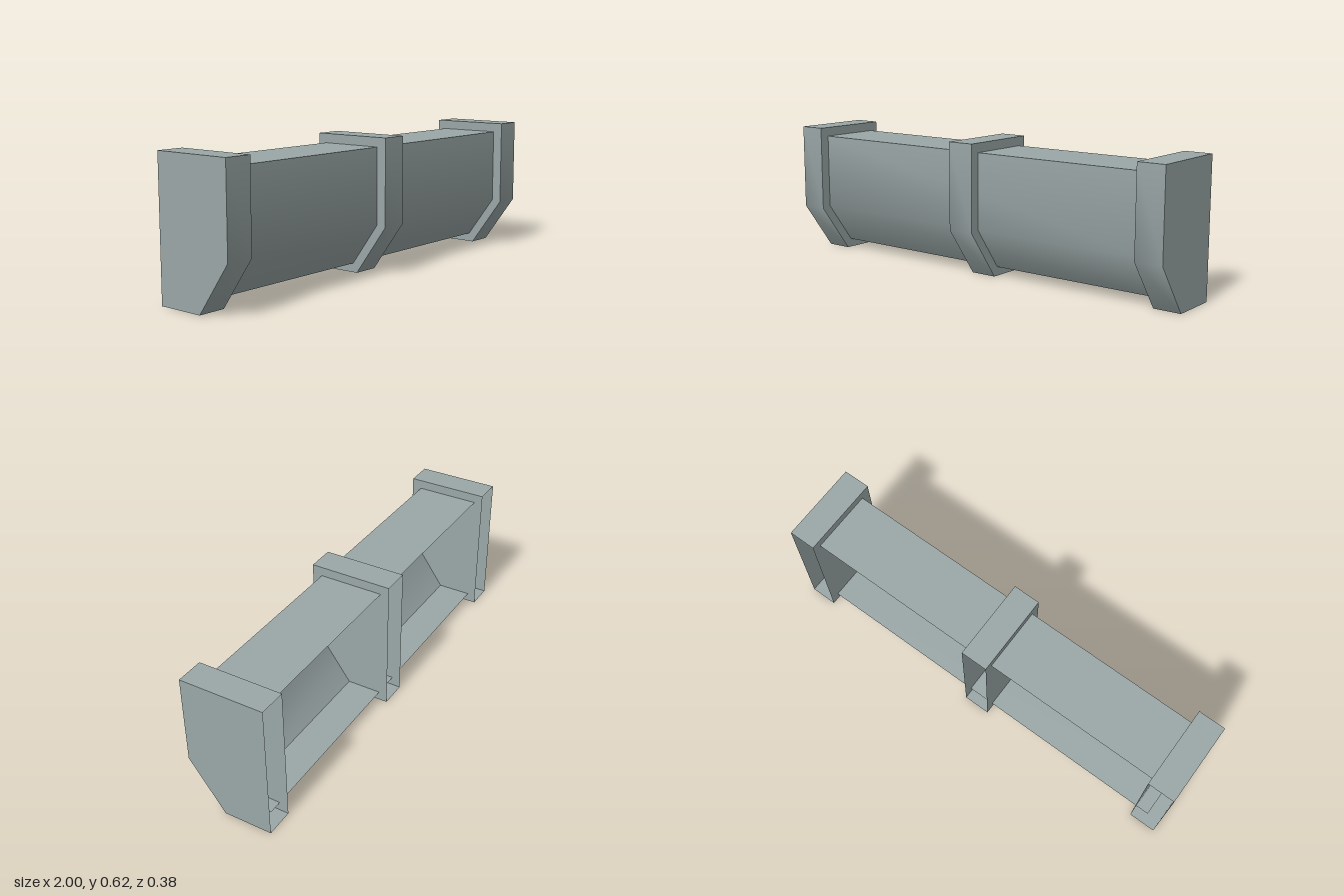
import * as THREE from 'three';
import { toCreasedNormals } from 'three/addons/utils/BufferGeometryUtils.js';

// Cross-sections as [z, y], running from the back of the top to the back of the bottom
const COLLAR = [[-0.189, 0.616], [0.189, 0.616], [0.189, 0.223], [0.029, 0], [-0.189, 0]];
const BODY = [[-0.15, 0.574], [0.144, 0.574], [0.144, 0.23], [0.008, 0.041], [-0.15, 0.041]];

// Sheet swept along x through an open profile; the shallow bend stays smooth
function sheet(profile, x0, x1) {
  const pos = [];
  for (let i = 0; i < profile.length - 1; i++) {
    const [za, ya] = profile[i];
    const [zb, yb] = profile[i + 1];
    const a = [x0, ya, za], b = [x0, yb, zb], c = [x1, yb, zb], d = [x1, ya, za];
    pos.push(...a, ...b, ...c, ...a, ...c, ...d);
  }
  const geo = new THREE.BufferGeometry();
  geo.setAttribute('position', new THREE.Float32BufferAttribute(pos, 3));
  return toCreasedNormals(geo, THREE.MathUtils.degToRad(45));
}

// Flat side wall facing +x (side 1) or -x (side -1)
function wall(profile, x, side) {
  const shape = new THREE.Shape(profile.map(([z, y]) => new THREE.Vector2(-side * z, y)));
  return new THREE.ShapeGeometry(shape).rotateY(side * Math.PI / 2).translate(x, 0, 0);
}

export function createModel() {
  const model = new THREE.Group();
  model.name = 'wallBox';
  const metal = new THREE.MeshStandardMaterial({ color: 0x9ba7a7, side: THREE.DoubleSide });
  metal.name = 'pale grey metal';

  const add = (parent, name, geo) => {
    const mesh = new THREE.Mesh(geo, metal);
    mesh.name = name;
    parent.add(mesh);
  };

  // Long trough, open at the back, ending inside the outer collars
  add(model, 'body', sheet(BODY, -0.9375, 0.9375));

  // Three hollow collars, open at the back
  const half = 0.0625;
  for (const [name, x] of [['rightCollar', -1 + half], ['middleCollar', 0], ['leftCollar', 1 - half]]) {
    const collar = new THREE.Group();
    collar.name = name;
    add(collar, 'collarBand', sheet(COLLAR, x - half, x + half));
    for (const side of [-1, 1]) add(collar, 'collarWall', wall(COLLAR, x + side * half, side));
    model.add(collar);
  }
  return model;
}
